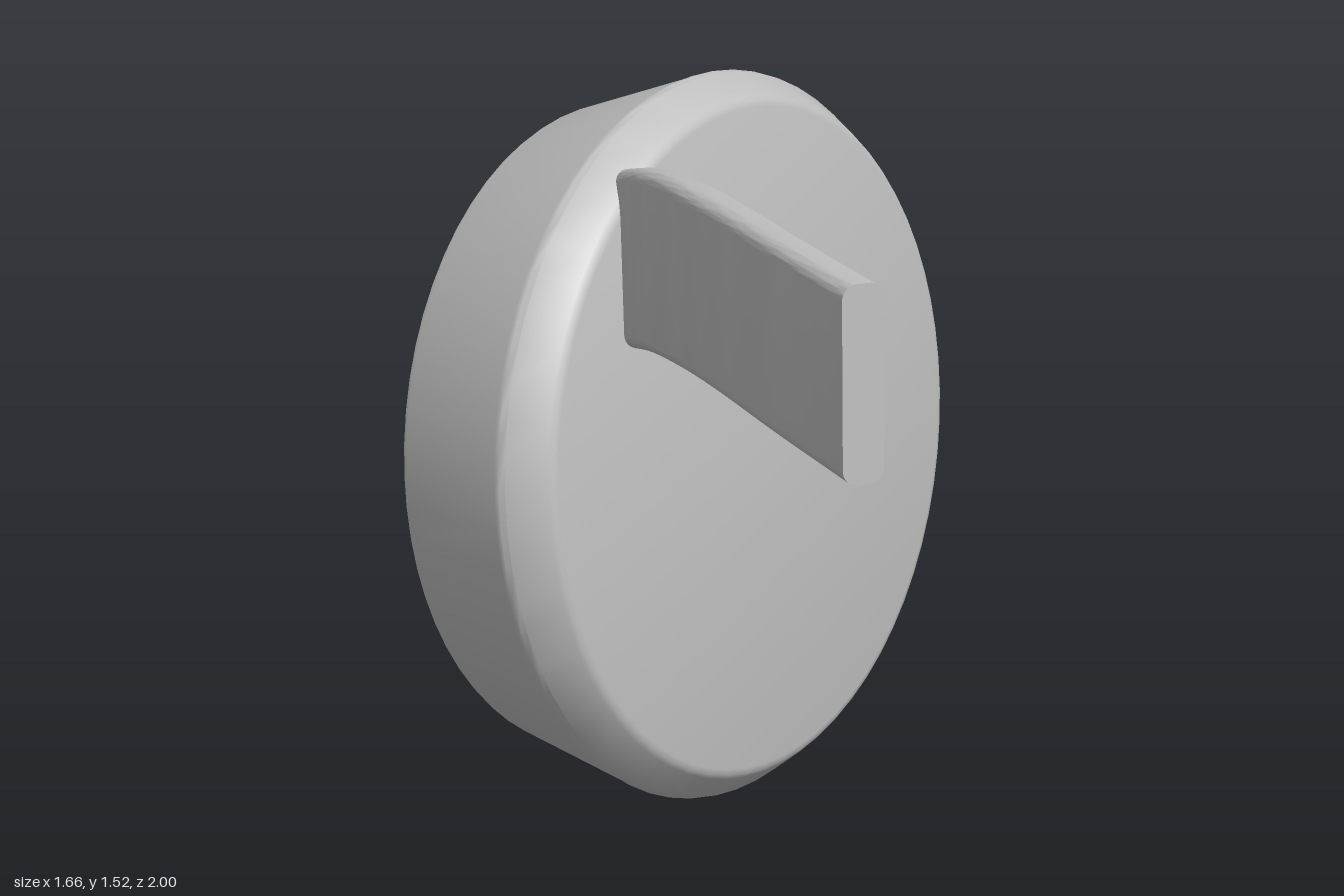
import * as THREE from 'three';
import { toCreasedNormals } from 'three/addons/utils/BufferGeometryUtils.js';

const CUP_TILT = THREE.MathUtils.degToRad(5.4);

export function createModel() {
  const group = new THREE.Group();
  const grey = new THREE.MeshStandardMaterial({ color: 0xc0c0c0 });
  grey.name = 'grey';
  const add = (name, geometry) => {
    const mesh = new THREE.Mesh(geometry, grey);
    mesh.name = name;
    group.add(mesh);
    return mesh;
  };

  // Ear cup: flared disc with a gently domed back and softened rims
  const profile = [
    [0, -0.34], [0.25, -0.335], [0.45, -0.323], [0.64, -0.304], [0.652, -0.3], [0.659, -0.288],
    [0.732, -0.018], [0.737, -0.004], [0.734, 0.01],
    [0.688, 0.077], [0.68, 0.085], [0.668, 0.088], [0, 0.096],
  ].map(([r, y]) => new THREE.Vector2(r, y));
  const cup = add('earCup', toCreasedNormals(new THREE.LatheGeometry(profile, 64), 0.6));
  cup.rotation.z = CUP_TILT - Math.PI / 2;
  cup.position.set(-0.33, 0.74, -0.26);

  // Upright mounting block sunk into the back of the cup
  const block = add('mountBlock', new THREE.BoxGeometry(0.35, 0.78, 0.295));
  block.position.set(-0.655, 0.74, -0.262);

  // Boom: rounded flat bar swept along a curve
  const path = new THREE.CatmullRomCurve3([
    [-0.295, 1.195, 0.08], [-0.11, 1.262, 0.268], [0.1, 1.314, 0.463],
    [0.275, 1.331, 0.595], [0.54, 1.345, 0.79], [0.803, 1.352, 0.968],
  ].map((p) => new THREE.Vector3(...p)));
  const w = 0.0375, h = 0.1725, r = 0.027;
  const section = new THREE.Shape();
  section.moveTo(w, -h + r);
  section.lineTo(w, h - r);
  section.absarc(w - r, h - r, r, 0, Math.PI / 2);
  section.absarc(-w + r, h - r, r, Math.PI / 2, Math.PI);
  section.absarc(-w + r, -h + r, r, Math.PI, Math.PI * 1.5);
  section.absarc(w - r, -h + r, r, Math.PI * 1.5, Math.PI * 2);
  const bar = new THREE.ExtrudeGeometry(section, { depth: 1, steps: 24, bevelEnabled: false, curveSegments: 6 });
  const pos = bar.attributes.position;
  const up = new THREE.Vector3(0, 1, 0);
  for (let i = 0; i < pos.count; i++) {
    const u = THREE.MathUtils.clamp(pos.getZ(i), 0, 1);
    const tangent = path.getTangentAt(u);
    const side = new THREE.Vector3().crossVectors(up, tangent).normalize();
    const rise = new THREE.Vector3().crossVectors(tangent, side);
    const p = path.getPointAt(u).addScaledVector(side, pos.getX(i)).addScaledVector(rise, pos.getY(i));
    pos.setXYZ(i, p.x, p.y, p.z);
  }
  add('boom', toCreasedNormals(bar, 0.6));

  return group;
}
